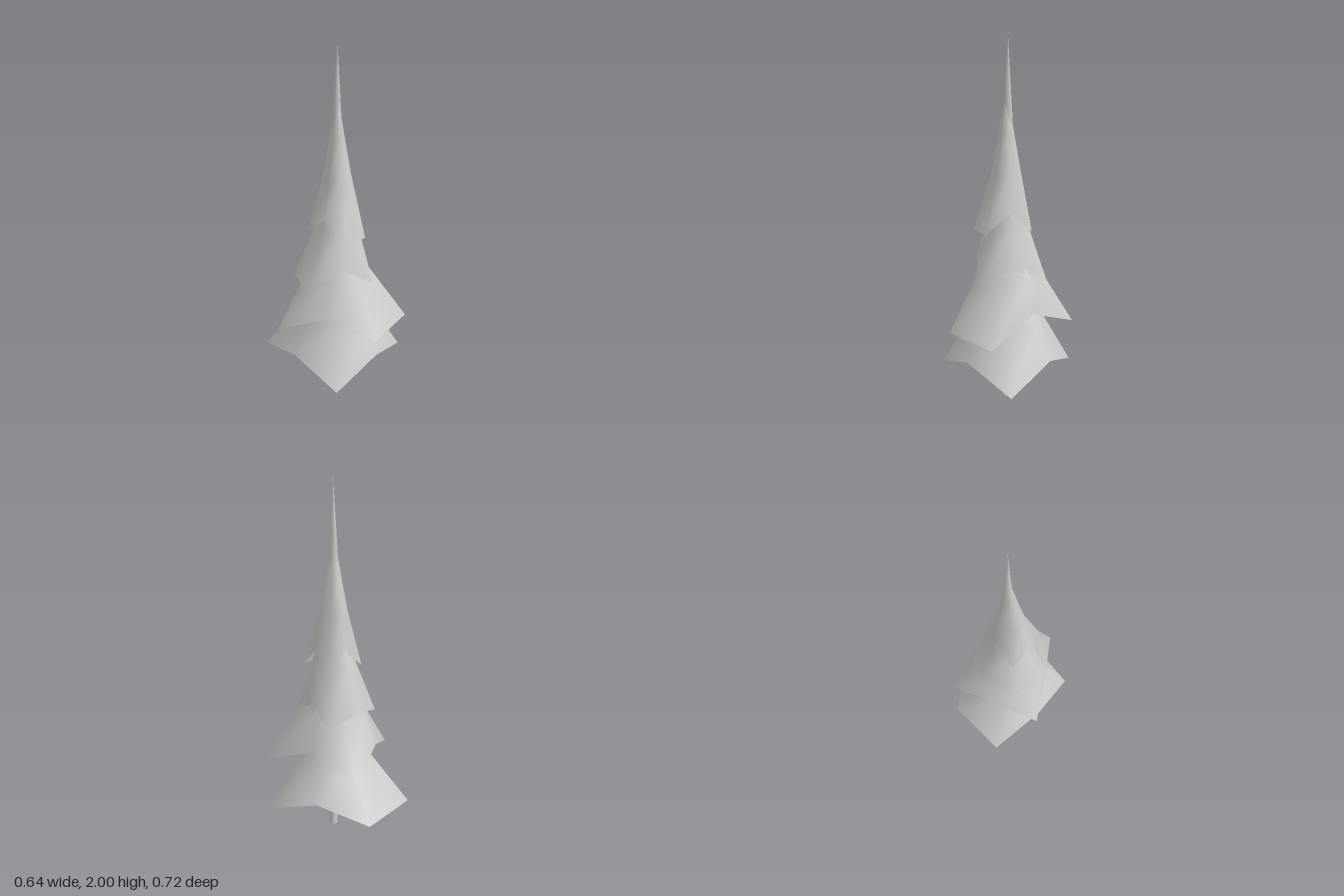
import * as THREE from 'three';

const bark = new THREE.MeshStandardMaterial({ color: 0xcccccc, side: THREE.DoubleSide });
bark.name = 'pale grey';

const AXIS = { x: 0.01, z: 0.025 };

// A hollow skirt of branches: a jagged rim, narrowing rings, and a closed tip.
// rim: [x, y, z] corners running front -> left (+x) -> back -> right
// rings: [height, radius], the last radius being close to zero
function branchTier(name, rim, rings) {
  const n = rim.length;
  const positions = rim.flat();
  for (const [y, r] of rings) {
    for (const [x, , z] of rim) {
      const a = Math.atan2(x - AXIS.x, z - AXIS.z);
      positions.push(AXIS.x + r * Math.sin(a), y, AXIS.z + r * Math.cos(a));
    }
  }
  const index = [];
  for (let k = 0; k < rings.length; k++) {
    for (let i = 0; i < n; i++) {
      const j = (i + 1) % n;
      const a = k * n + i, b = k * n + j, c = a + n, d = b + n;
      index.push(a, b, d, a, d, c);
    }
  }
  const geometry = new THREE.BufferGeometry();
  geometry.setAttribute('position', new THREE.Float32BufferAttribute(positions, 3));
  geometry.setIndex(index);
  geometry.computeVertexNormals();
  const mesh = new THREE.Mesh(geometry, bark);
  mesh.name = name;
  return mesh;
}

export function createModel() {
  const tree = new THREE.Group();
  tree.name = 'tree';

  // Trunk, slightly tapered
  const trunk = new THREE.Mesh(new THREE.CylinderGeometry(0.02, 0.024, 1.2, 8), bark);
  trunk.name = 'trunk';
  trunk.position.set(0.004, 0.6, 0.03);
  tree.add(trunk);

  // Four skirts of branches, each with one straight side
  tree.add(branchTier('bottomBranches', [
    [0.02, 0.29, 0.31], [0.32, 0.18, 0.25], [0.29, 0.29, -0.05], [0.165, 0.18, -0.315],
    [-0.19, 0.18, -0.36], [-0.28, 0.29, -0.04], [-0.275, 0.18, 0.265],
  ], [[0.48, 0.205], [0.85, 0.001]]));

  tree.add(branchTier('lowerBranches', [
    [0.26, 0.45, 0.33], [0.225, 0.56, 0.02], [0.23, 0.45, -0.27], [-0.055, 0.56, -0.215],
    [-0.32, 0.45, -0.125], [-0.195, 0.56, 0.125], [-0.065, 0.45, 0.36],
  ], [[0.76, 0.18], [1.1, 0.001]]));

  tree.add(branchTier('upperBranches', [
    [0.055, 0.72, 0.245], [0.155, 0.8, 0.095], [0.21, 0.72, -0.09], [0.05, 0.78, -0.17],
    [-0.15, 0.72, -0.15], [-0.235, 0.72, 0.03], [-0.1, 0.83, 0.15],
  ], [[1.03, 0.118], [1.38, 0.001]]));

  tree.add(branchTier('topBranches', [
    [0.04, 0.99, 0.195], [0.1, 1.1, 0.08], [0.135, 0.99, -0.045], [0.04, 1.1, -0.065],
    [-0.105, 0.99, -0.085], [-0.12, 1.1, 0.04], [-0.1, 0.99, 0.165],
  ], [[1.3, 0.08], [1.5, 0.043], [1.74, 0.001]]));

  // Slender spire at the very top
  const spire = new THREE.Mesh(new THREE.LatheGeometry([
    new THREE.Vector2(0.028, 1.42), new THREE.Vector2(0.025, 1.58),
    new THREE.Vector2(0.012, 1.8), new THREE.Vector2(0.0005, 2),
  ], 7), bark);
  spire.name = 'spire';
  spire.position.set(0.014, 0, 0.02);
  tree.add(spire);

  return tree;
}
